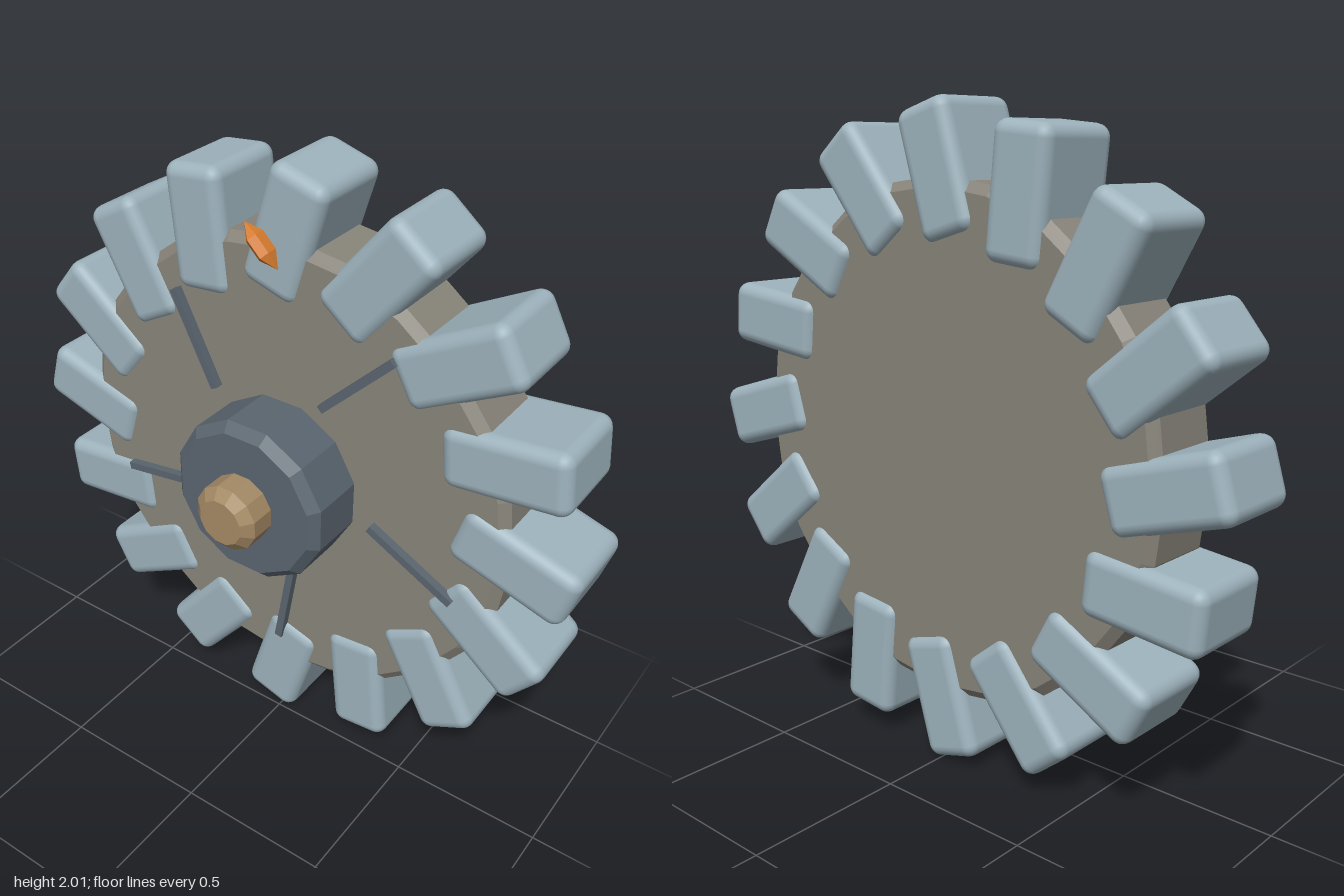
import * as THREE from 'three';
import { RoundedBoxGeometry } from 'three/addons/geometries/RoundedBoxGeometry.js';

const paint = (name, color, flatShading = false) => {
  const m = new THREE.MeshStandardMaterial({ color, flatShading });
  m.name = name;
  return m;
};

// Faceted turned solid along z; profile holds [radius, z] from back to front.
function turned(profile, sides, phase = 0) {
  const points = profile.map(([r, z]) => new THREE.Vector2(r, z));
  return new THREE.LatheGeometry(points, sides, phase).rotateX(Math.PI / 2);
}

export function createModel() {
  const model = new THREE.Group();
  model.name = 'bladedWheel';
  const paddleBlue = paint('paleBlueGrey', 0x9db2bc);
  const discGrey = paint('warmGrey', 0x88847a, true);
  const slate = paint('darkSlate', 0x5a656f, true);
  const brass = paint('dullBrass', 0xa48964, true);
  const orange = paint('orange', 0xd47a2c, true);

  const add = (name, geometry, material, x = 0, y = 1, z = 0, turn = 0) => {
    const mesh = new THREE.Mesh(geometry, material);
    mesh.name = name;
    mesh.position.set(x, y, z);
    mesh.rotation.z = turn;
    model.add(mesh);
    return mesh;
  };

  // Ring of parts around the axle, each leaning off its radius by tilt
  function ring(name, geometry, material, count, start, radius, z, tilt) {
    for (let i = 0; i < count; i++) {
      const a = start + (i / count) * Math.PI * 2;
      add(name + (i + 1), geometry, material,
        radius * Math.cos(a), 1 + radius * Math.sin(a), z, a + tilt);
    }
  }

  // Disc with bevelled rim
  add('disc', turned([[0, -0.28], [0.755, -0.28], [0.785, -0.255],
    [0.785, -0.04], [0.755, -0.015], [0, -0.015]], 24), discGrey);

  // Hub and axle cap
  add('hub', turned([[0, -0.05], [0.274, -0.05], [0.274, 0.16],
    [0.243, 0.19], [0, 0.19]], 12, Math.PI / 12), slate);
  add('axleCap', turned([[0, 0.15], [0.11, 0.15], [0.11, 0.27],
    [0.076, 0.3], [0, 0.3]], 12, Math.PI / 12), brass);

  // Rounded paddles around the rim
  ring('paddle', new RoundedBoxGeometry(0.39, 0.2, 0.3, 3, 0.04), paddleBlue,
    16, 0, 0.797, -0.15, -0.29);

  // Thin ribs on the front face
  ring('rib', new THREE.BoxGeometry(0.33, 0.026, 0.035), slate,
    5, 1.0, 0.498, -0.005, -0.22);

  // Small spindle marker floating in front of the top paddle
  const spindle = new THREE.LatheGeometry([[0, -0.08], [0.034, -0.03],
    [0.034, 0.03], [0, 0.08]].map(([r, y]) => new THREE.Vector2(r, y)), 6);
  spindle.scale(0.75, 1, 1);
  add('marker', spindle, orange, -0.003, 1.803, 0.08, Math.PI / 4);

  return model;
}
